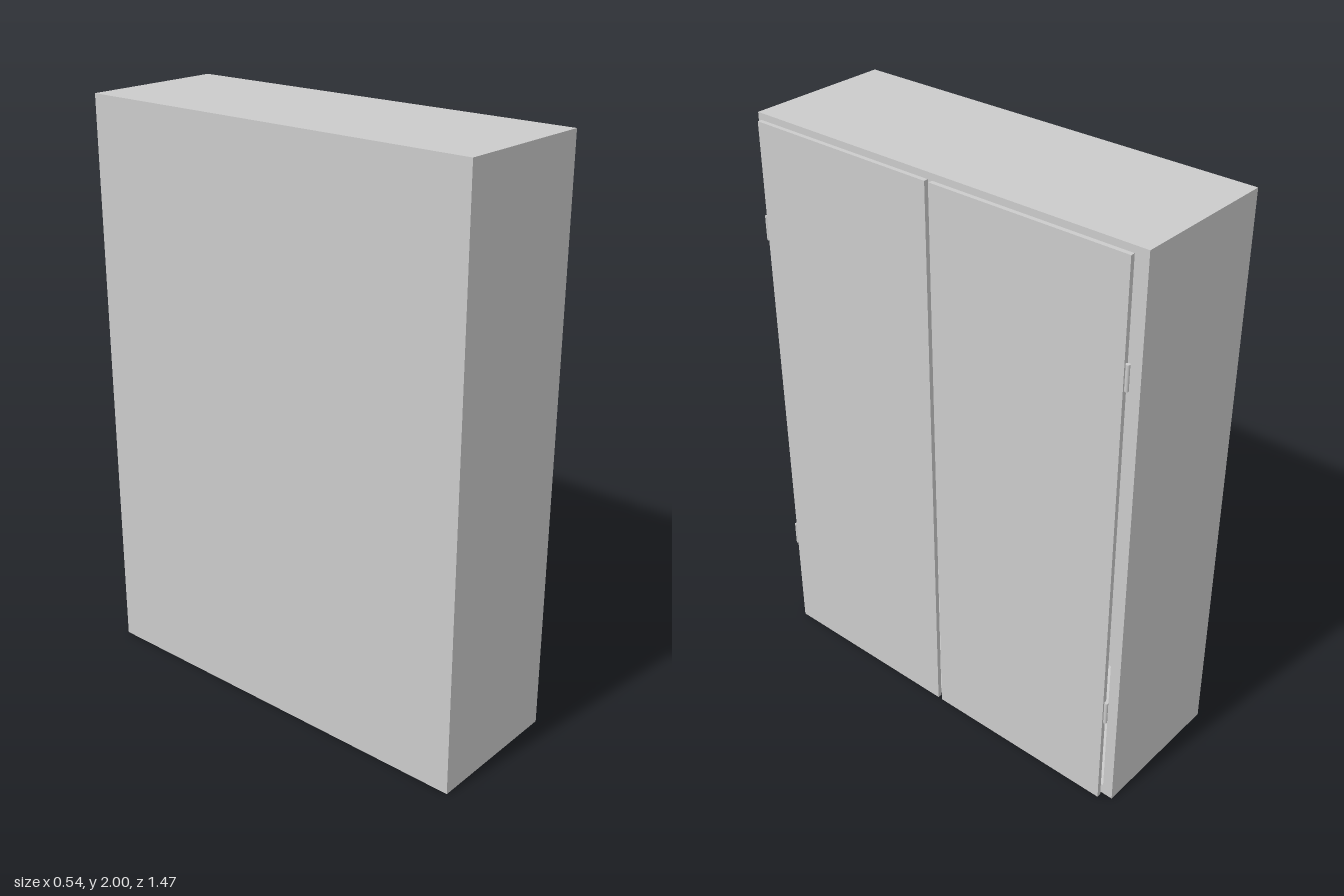
import * as THREE from 'three';

const material = new THREE.MeshStandardMaterial({ color: 0xcccccc });

function addMesh(parent, name, geometry, x, y, z) {
  const mesh = new THREE.Mesh(geometry, material);
  mesh.name = name;
  mesh.position.set(x, y, z);
  parent.add(mesh);
  return mesh;
}

// Shape or hole outline, width centred on the origin
function rectangle(PathType, width, bottom, top) {
  const w = width / 2;
  const path = new PathType();
  path.moveTo(-w, bottom).lineTo(w, bottom).lineTo(w, top).lineTo(-w, top).closePath();
  return path;
}

export function createModel() {
  const group = new THREE.Group();
  group.name = 'cabinet';

  const back = -0.272, front = 0.238; // carcass depth runs along x
  const width = 1.47, height = 2, wall = 0.037;

  // Carcass: four walls as one hollow frame, open towards +x
  const outline = rectangle(THREE.Shape, width, 0, height);
  outline.holes.push(rectangle(THREE.Path, width - 2 * wall, wall, height - wall));
  const frame = new THREE.ExtrudeGeometry(outline, { depth: front - back - wall, bevelEnabled: false });
  frame.rotateY(Math.PI / 2);
  addMesh(group, 'carcass', frame, back + wall, 0, 0);

  // Back panel closes the rear
  addMesh(group, 'backPanel', new THREE.BoxGeometry(wall, height, width), back + wall / 2, height / 2, 0);

  // Pair of doors standing just clear of the carcass, with two hinge barrels each
  const doorWidth = 0.693;
  for (const side of [-1, 1]) {
    const door = new THREE.Group();
    door.name = side > 0 ? 'frontDoor' : 'rearDoor';
    group.add(door);
    addMesh(door, 'doorPanel', new THREE.BoxGeometry(0.015, 1.976, doorWidth), 0.2635, 1, side * (0.008 + doorWidth / 2));
    for (const y of [0.396, 1.628]) {
      addMesh(door, 'hinge', new THREE.CylinderGeometry(0.0065, 0.0065, 0.084, 16), 0.2645, y, side * 0.708);
    }
  }
  return group;
}
